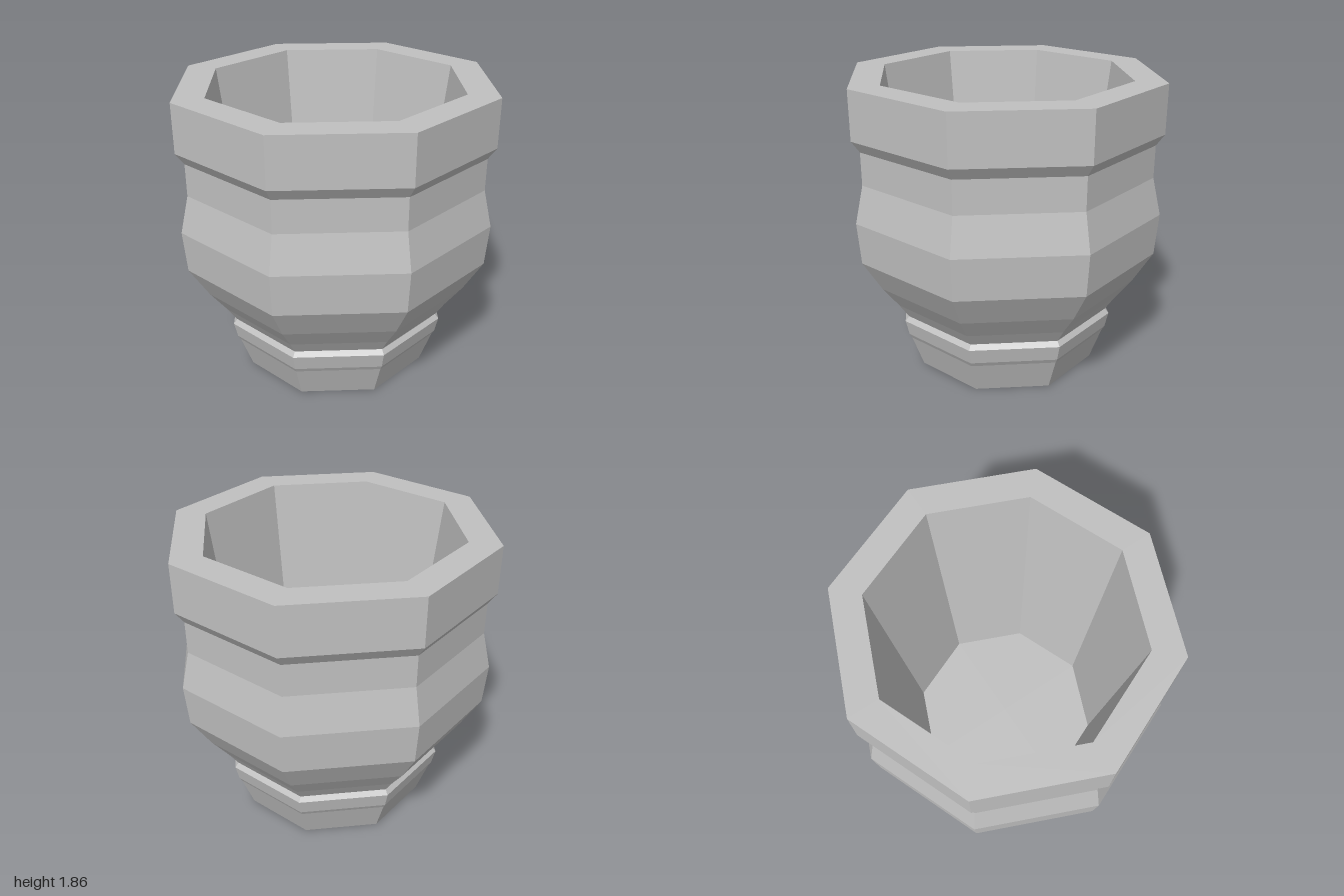
import * as THREE from 'three';

const SIDES = 8;
const DEPTH_SCALE = 0.977; // slightly narrower front to back

export function createModel() {
  const group = new THREE.Group();
  group.name = 'octagonalPot';

  const stone = new THREE.MeshStandardMaterial({ color: 0xc0c0c0 });
  stone.name = 'greyStone';
  stone.flatShading = true;

  // Turns a [radius, height] profile into an eight-sided faceted part
  const addPart = (name, profile) => {
    const points = profile.map(([r, y]) => new THREE.Vector2(r, y));
    const geometry = new THREE.LatheGeometry(points, SIDES);
    geometry.scale(1, 1, DEPTH_SCALE);
    const mesh = new THREE.Mesh(geometry, stone);
    mesh.name = name;
    group.add(mesh);
  };

  // Tapered foot with its underside and flared collar
  addPart('foot', [
    [0, 0], [0.605, 0], [0.68, 0.21], [0.697, 0.24], [0.72, 0.34], [0.695, 0.37],
  ]);

  // Swelling body with a narrow neck
  addPart('body', [
    [0.695, 0.37], [0.755, 0.46], [0.86, 0.6], [0.98, 0.8],
    [1, 1.06], [0.945, 1.29], [0.945, 1.49],
  ]);

  // Thick rim band with a flat top
  addPart('rim', [[0.945, 1.49], [0.995, 1.56], [0.995, 1.86], [0.8, 1.86]]);

  // Tapering hollow and its flat floor
  addPart('hollow', [[0.8, 1.86], [0.605, 0.36], [0, 0.36]]);

  return group;
}
